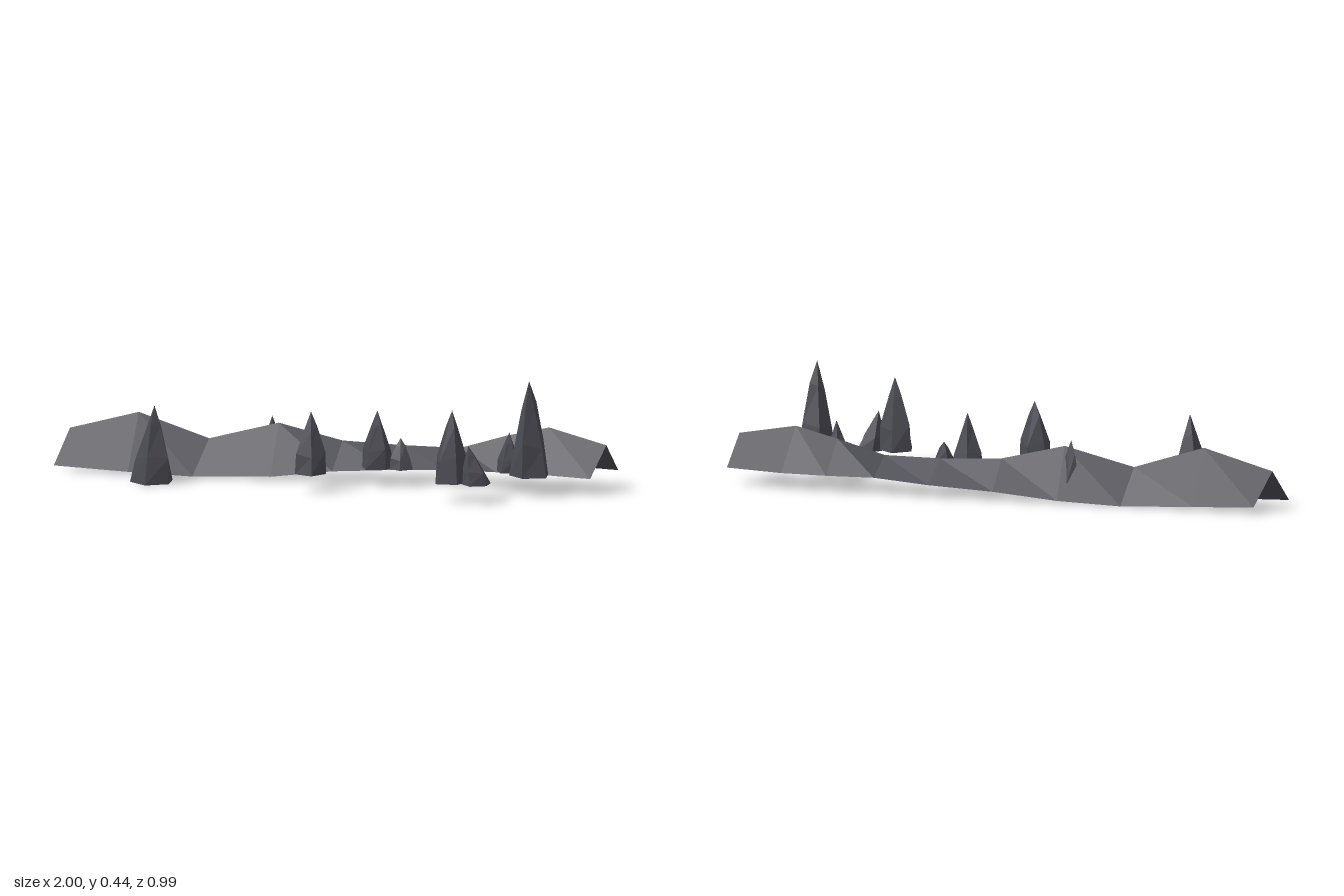
import * as THREE from 'three';

// Loft of cross-sections: joins rows of [x, y, z] points into flat-shaded quads
function loft(rows, closed) {
  const pos = [];
  const n = rows[0].length;
  for (let i = 0; i < rows.length - 1; i++) {
    for (let j = 0; j < (closed ? n : n - 1); j++) {
      const k = (j + 1) % n;
      const a = rows[i][j], b = rows[i][k], c = rows[i + 1][k], d = rows[i + 1][j];
      pos.push(...a, ...b, ...c, ...a, ...c, ...d);
    }
  }
  const geo = new THREE.BufferGeometry();
  geo.setAttribute('position', new THREE.Float32BufferAttribute(pos, 3));
  geo.computeVertexNormals();
  return geo;
}

export function createModel() {
  const group = new THREE.Group();
  const rock = new THREE.MeshStandardMaterial({ color: 0x4a4a52, side: THREE.DoubleSide, flatShading: true });
  rock.name = 'dark slate';

  // Ridge sections: front foot, crest and back foot
  const sections = [
    [[-1, 0.025, 0.42], [-1, 0.155, 0.31], [-0.99, 0.03, 0.2]],
    [[-0.72, 0.015, 0.33], [-0.74, 0.23, 0.225], [-0.76, 0.018, 0.125]],
    [[-0.49, 0.005, 0.23], [-0.48, 0.14, 0.13], [-0.49, 0.005, 0.025]],
    [[-0.2, 0.018, 0.125], [-0.23, 0.21, 0.025], [-0.26, 0.015, -0.07]],
    [[0.02, 0.047, 0.03], [0, 0.15, -0.07], [-0.03, 0.04, -0.17]],
    [[0.23, 0.06, -0.06], [0.22, 0.14, -0.165], [0.2, 0.055, -0.27]],
    [[0.43, 0.07, -0.135], [0.43, 0.14, -0.235], [0.41, 0.07, -0.335]],
    [[0.62, 0.07, -0.2], [0.6, 0.195, -0.305], [0.58, 0.07, -0.41]],
    [[0.79, 0.07, -0.25], [0.76, 0.235, -0.355], [0.75, 0.07, -0.467]],
    [[1, 0.07, -0.28], [1, 0.185, -0.39], [0.98, 0.07, -0.5]],
  ];
  const ridge = new THREE.Mesh(loft(sections.map((s) => s.slice().reverse()), false), rock);
  ridge.name = 'ridge';
  group.add(ridge);

  // Five-sided tapering spikes: base centre, base y, tip x y z, radius, turn
  const spikes = [
    [-0.548, 0.41, 0.005, -0.535, 0.305, 0.42, 0.087, 0.1],
    [0.06, 0.24, 0.075, 0.065, 0.315, 0.24, 0.07, 0.9],
    [0.185, -0.03, 0.07, 0.2, 0.295, -0.012, 0.068, 0.4],
    [0.278, -0.062, 0.07, 0.265, 0.185, -0.075, 0.05, 1.1],
    [0.625, 0.118, 0.08, 0.64, 0.36, 0.127, 0.073, 0.6],
    [0.722, 0.082, 0.075, 0.7, 0.225, 0.105, 0.06, 0.2],
    [-0.272, 0.005, 0.02, -0.258, 0.235, 0.028, 0.05, 0.7],
    [0.682, -0.19, 0.08, 0.695, 0.235, -0.18, 0.05, 0.3],
    [0.802, -0.165, 0.08, 0.808, 0.45, -0.148, 0.081, 0.15],
  ];
  // Height fraction and radius fraction of each ring
  const rings = [[0, 0], [0, 0.96], [0.33, 0.8], [0.74, 0.36], [1, 0]];
  const wobble = [1, 0.92, 1.05, 0.95, 1.06];
  spikes.forEach(([x, z, y, tx, ty, tz, r, turn], n) => {
    const rows = rings.map(([h, w], i) => wobble.map((_, j) => {
      const a = turn - (j * Math.PI * 2) / 5;
      const rad = r * w * wobble[(j + n + i) % 5];
      const lift = i === 2 || i === 3 ? (wobble[(j + n) % 5] - 1) * 0.6 : 0;
      return [
        x + (tx - x) * h + Math.cos(a) * rad,
        y + (ty - y) * (h + lift),
        z + (tz - z) * h + Math.sin(a) * rad,
      ];
    }));
    const spike = new THREE.Mesh(loft(rows, true), rock);
    spike.name = 'rockSpike' + (n + 1);
    group.add(spike);
  });

  return group;
}
